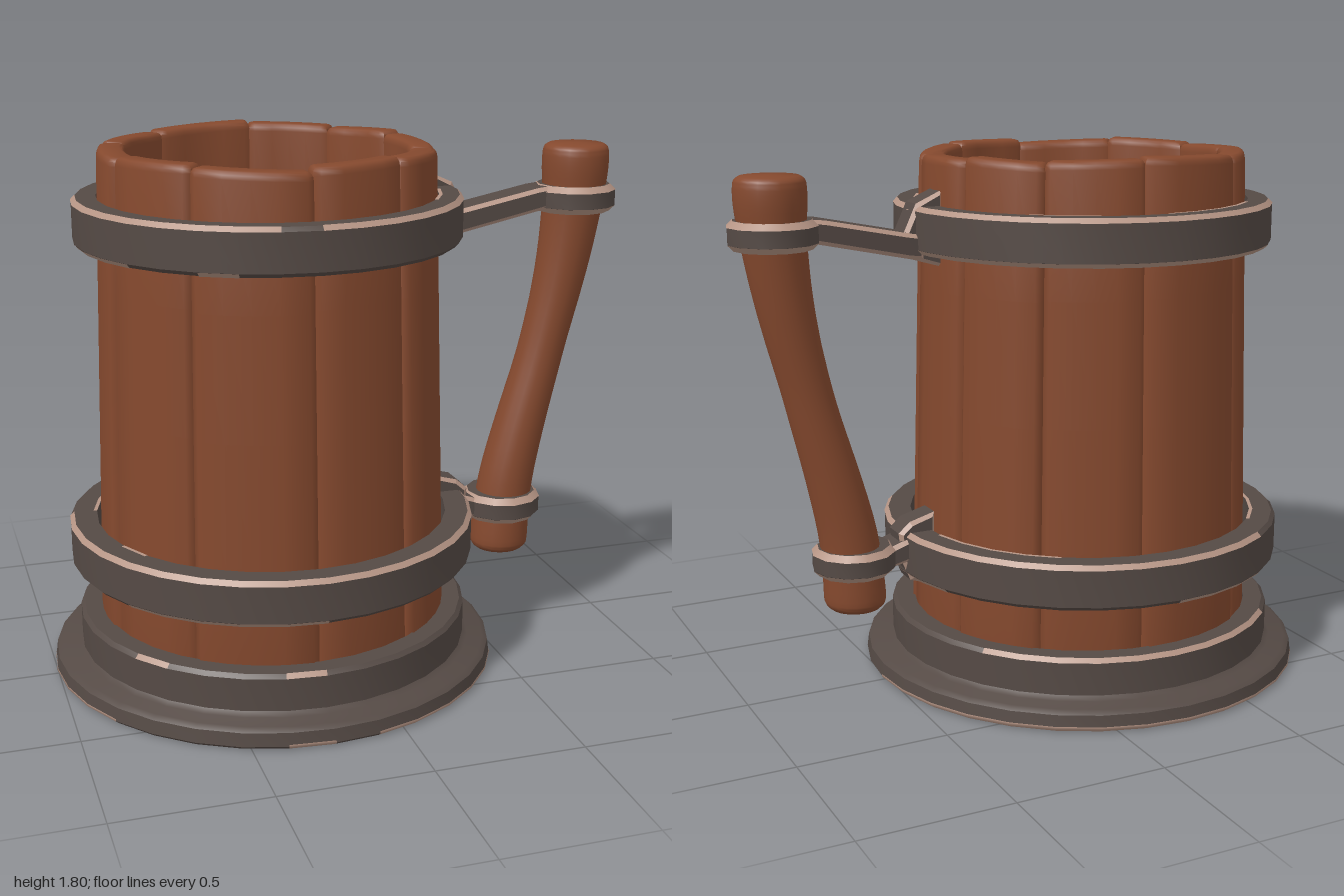
import * as THREE from 'three';
import { toCreasedNormals } from 'three/addons/utils/BufferGeometryUtils.js';

const V = (x, y) => new THREE.Vector2(x, y);

export function createModel() {
  const model = new THREE.Group();
  model.name = 'tankard';
  const material = (name, color) => {
    const m = new THREE.MeshStandardMaterial({ color });
    m.name = name;
    return m;
  };
  const wood = material('wood', 0x85492e);
  const iron = material('iron', 0x554a45);
  const worn = material('wornEdge', 0xb59484);

  let seed = 7;
  const random = () => (seed = (seed * 16807) % 2147483647) / 2147483647;

  const add = (parent, name, geometry, mat) => {
    const mesh = new THREE.Mesh(geometry, mat);
    mesh.name = name;
    parent.add(mesh);
    return mesh;
  };

  // Bare-metal strip along a turned edge, in broken runs of whole facets
  function wearEdge(parent, profile, sides, amount) {
    const step = (Math.PI * 2) / sides;
    if (amount >= 1) {
      add(parent, 'wornEdge', new THREE.LatheGeometry(profile, sides), worn);
      return;
    }
    for (let i = 0; i < sides;) {
      const run = Math.min(sides - i, 1 + Math.floor(random() * 4));
      if (random() < amount) {
        add(parent, 'wornEdge', new THREE.LatheGeometry(profile, run, i * step, run * step), worn);
      }
      i += run;
    }
  }

  // Chamfered iron ring with worn edges
  function hoop(name, x, ro, ri, y0, y1, b, sides, topWear, bottomWear, innerWear) {
    const group = new THREE.Group();
    group.name = name;
    group.position.x = x;
    const profile = [V(ri, y0), V(ro - b, y0), V(ro, y0 + b), V(ro, y1 - b), V(ro - b, y1), V(ri, y1), V(ri, y0)];
    add(group, 'ring', toCreasedNormals(new THREE.LatheGeometry(profile, sides), 0.6), iron);
    const e = 0.002;
    wearEdge(group, [V(ro + e, y1 - b), V(ro - b, y1 + e)], sides, topWear);
    wearEdge(group, [V(ro - b, y0 - e), V(ro + e, y0 + b)], sides, bottomWear);
    wearEdge(group, [V(ri + 0.012, y1 + e), V(ri, y1 + e)], sides, innerWear);
    model.add(group);
  }

  // Barrel of ten slightly uneven staves
  const barrel = new THREE.Group();
  barrel.name = 'barrel';
  barrel.position.x = -0.24;
  model.add(barrel);
  const joints = [-83, -49, -18, 18, 55, 90, 130, 166, 199, 235, 277];
  const tops = [1.785, 1.78, 1.772, 1.772, 1.78, 1.768, 1.778, 1.775, 1.78, 1.788];
  tops.forEach((top, i) => {
    const a0 = THREE.MathUtils.degToRad(joints[i]) - 0.002;
    const a1 = THREE.MathUtils.degToRad(joints[i + 1]) + 0.002;
    const points = [];
    const polar = (r, a) => points.push(V(r * Math.cos(a), r * Math.sin(a)));
    const side = (r, inset, from, to) => {
      const s = Math.sign(to - from) * 0.04;
      polar(r + inset, from);
      for (let k = 0; k <= 4; k++) polar(r, from + s + (to - from - 2 * s) * k / 4);
      polar(r + inset, to);
    };
    side(0.545 + 0.006 * (i % 2), -0.018, a0, a1);
    side(0.46, 0.012, a1, a0);
    const t = 0.026;
    const geo = new THREE.ExtrudeGeometry(new THREE.Shape(points), {
      depth: top - 0.1 - 2 * t, steps: 4, bevelThickness: t, bevelSize: 0.016, bevelOffset: -0.016, bevelSegments: 3,
    });
    geo.rotateX(Math.PI / 2).translate(0, top - t, 0);
    // Flare toward the foot and tilt the top a little
    const p = geo.attributes.position;
    const mid = (a0 + a1) / 2;
    const tilt = i % 2 ? 0.035 : -0.02;
    for (let k = 0; k < p.count; k++) {
      const x = p.getX(k), y = p.getY(k), z = p.getZ(k);
      const flare = 1 + 0.05 * (1.78 - y);
      const lift = y > 1.6 ? tilt * (z * Math.cos(mid) - x * Math.sin(mid)) : 0;
      p.setXYZ(k, x * flare, y + lift, z * flare);
    }
    add(barrel, 'stave', toCreasedNormals(geo, 0.9), wood);
  });

  // Floor planks, cut from one disc
  const cuts = [-0.598, -0.295, 0, 0.29, 0.598];
  for (let i = 0; i < 4; i++) {
    const right = [], left = [];
    for (let k = 0; k <= 10; k++) {
      const z = THREE.MathUtils.lerp(cuts[i], cuts[i + 1], k / 10);
      const x = Math.sqrt(0.605 ** 2 - z * z);
      right.push(V(x, z));
      left.unshift(V(-x, z));
    }
    const geo = new THREE.ExtrudeGeometry(new THREE.Shape([...right, ...left]), {
      depth: 0.064, bevelThickness: 0.008, bevelSize: 0.005, bevelOffset: -0.005, bevelSegments: 1,
    });
    geo.rotateX(Math.PI / 2).translate(0, 0.102, 0);
    add(barrel, 'floorPlank', geo, wood);
  }

  // Stepped iron foot
  const foot = [V(0.59, 0), V(0.752, 0), V(0.762, 0.01), V(0.756, 0.055), V(0.738, 0.068), V(0.685, 0.072), V(0.668, 0.085),
    V(0.668, 0.195), V(0.655, 0.208), V(0.59, 0.208), V(0.59, 0)];
  add(barrel, 'foot', toCreasedNormals(new THREE.LatheGeometry(foot, 32), 0.6), iron);
  wearEdge(barrel, [V(0.751, -0.001), V(0.7645, 0.01), V(0.7635, 0.018)], 32, 0.75);
  wearEdge(barrel, [V(0.67, 0.196), V(0.656, 0.21)], 32, 0.35);
  wearEdge(barrel, [V(0.588, 0.014), V(0.588, -0.001), V(0.602, -0.001)], 32, 0.6);

  // Barrel hoops and handle collars
  hoop('upperHoop', -0.24, 0.64, 0.56, 1.47, 1.62, 0.013, 32, 0.9, 0.5, 0.4);
  hoop('lowerHoop', -0.24, 0.69, 0.6, 0.38, 0.53, 0.013, 32, 0.9, 0.5, 0.3);
  hoop('upperCollar', 0.855, 0.145, 0.09, 1.51, 1.6, 0.018, 12, 1, 1, 0);
  hoop('lowerCollar', 0.615, 0.14, 0.085, 0.41, 0.5, 0.018, 12, 1, 1, 0);

  // Claws gripping the hoops and arms to the collars, with worn chamfers
  function bracket(name, width, outline) {
    const b = 0.013;
    const geo = new THREE.ExtrudeGeometry(new THREE.Shape(outline.map(([x, y]) => V(x, y))), {
      depth: width - 2 * b, bevelThickness: b, bevelSize: b, bevelOffset: -b, bevelSegments: 1,
    });
    geo.translate(0, 0, b - width / 2 - 0.003);
    geo.clearGroups();
    const n = geo.attributes.normal;
    for (let k = 0; k < n.count; k += 3) {
      const nz = Math.abs(n.getZ(k));
      geo.addGroup(k, 3, nz > 0.2 && nz < 0.97 ? 1 : 0);
    }
    add(model, name, geo, [iron, worn]);
  }
  bracket('upperClaw', 0.105, [[0.3, 1.42], [0.42, 1.455], [0.432, 1.54], [0.39, 1.63], [0.3, 1.67]]);
  bracket('upperArm', 0.13, [[0.37, 1.45], [0.42, 1.455], [0.745, 1.525], [0.745, 1.6], [0.7, 1.595], [0.43, 1.54], [0.37, 1.53]]);
  bracket('lowerClaw', 0.105, [[0.34, 0.33], [0.43, 0.36], [0.46, 0.43], [0.47, 0.53], [0.43, 0.565], [0.34, 0.59]]);
  bracket('lowerArm', 0.13, [[0.4, 0.44], [0.45, 0.43], [0.52, 0.415], [0.52, 0.485], [0.46, 0.505], [0.4, 0.52]]);

  // Turned handle, leaning outward along a gentle curve
  const spine = new THREE.SplineCurve([V(0.612, 0.28), V(0.622, 0.45), V(0.645, 0.6), V(0.695, 0.8), V(0.75, 1.0), V(0.82, 1.3), V(0.855, 1.55), V(0.86, 1.74)]);
  const centre = spine.getPoints(600);
  const grip = new THREE.SplineCurve([V(0.085, 0.284), V(0.1, 0.3), V(0.104, 0.33), V(0.1, 0.45), V(0.097, 0.6), V(0.09, 0.8), V(0.084, 1.0),
    V(0.086, 1.15), V(0.092, 1.3), V(0.1, 1.45), V(0.108, 1.57), V(0.115, 1.65), V(0.115, 1.7), V(0.11, 1.725), V(0.095, 1.737)]);
  const handle = new THREE.LatheGeometry([V(0, 0.282), ...grip.getPoints(42), V(0, 1.74)], 20);
  const hp = handle.attributes.position;
  for (let k = 0; k < hp.count; k++) {
    const y = hp.getY(k);
    const c = centre.find((q) => q.y >= y) || centre[centre.length - 1];
    hp.setX(k, hp.getX(k) + c.x);
  }
  add(model, 'handle', toCreasedNormals(handle, 0.8), wood);

  return model;
}
